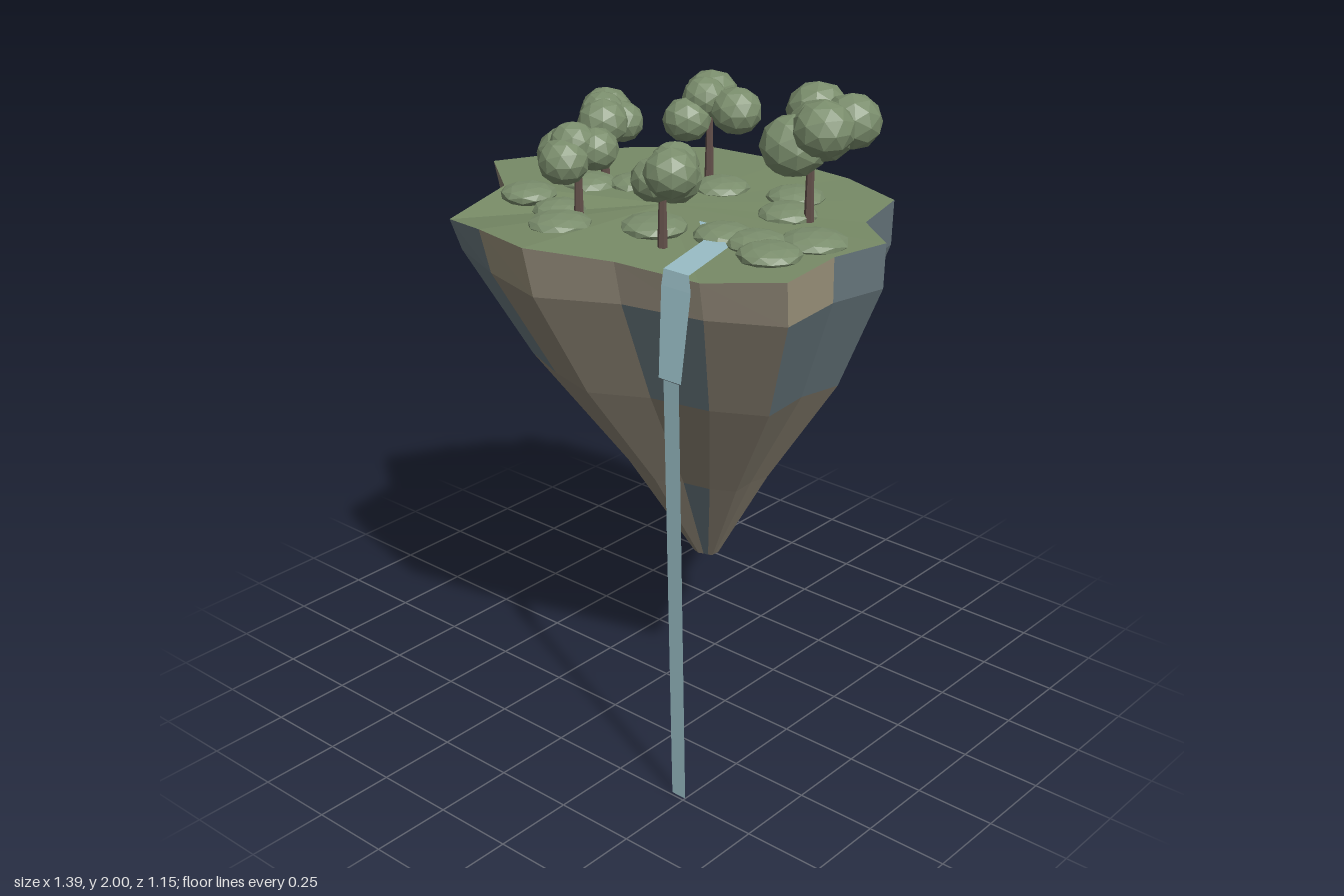
import * as THREE from 'three';

const mat = (name, color, extra = {}) => {
  const m = new THREE.MeshStandardMaterial({ color, flatShading: true, ...extra });
  m.name = name;
  return m;
};

// Rim of the island as [x, z, y], running left, front, right, back
const RIM = [
  [-0.70, 0.03, 1.62], [-0.49, 0.19, 1.62], [-0.49, 0.42, 1.57], [-0.27, 0.51, 1.61],
  [-0.03, 0.575, 1.625], [0.20, 0.45, 1.605], [0.46, 0.395, 1.59], [0.67, 0.28, 1.61],
  [0.65, 0.045, 1.615], [0.69, -0.145, 1.615], [0.53, -0.27, 1.61], [0.48, -0.485, 1.615],
  [0.25, -0.57, 1.615], [0, -0.58, 1.62], [-0.28, -0.545, 1.62], [-0.47, -0.38, 1.62],
  [-0.60, -0.17, 1.62],
];
// Lower rings: centre x, centre z, scale of the rim, height
const RINGS = [
  [0.02, 0, 0.97, 1.48], [0.06, -0.02, 0.72, 1.15], [0.12, -0.015, 0.335, 0.81], [0.14, -0.03, 0.06, 0.5],
];
// Columns of each rock band that differ from the plain brown stone
const SLATE = [[2, 8, 10, 12], [2, 5, 7, 8, 10, 12, 13, 15], [9], [5, 11, 13, 14]];
const PALE = [[3, 7, 9], [], [], []];

// Trees: trunk x, z, then foliage blobs [x, y, z, radius]
const TREES = [
  { x: -0.32, z: -0.08, blobs: [[-0.34, 1.82, -0.11, 0.08], [-0.28, 1.81, -0.03, 0.08], [-0.27, 1.80, -0.1, 0.07], [-0.31, 1.83, -0.06, 0.07]] },
  { x: -0.07, z: -0.28, blobs: [[-0.12, 1.86, -0.35, 0.085], [-0.11, 1.81, -0.22, 0.075], [0.01, 1.84, -0.31, 0.08], [-0.09, 1.87, -0.28, 0.07]] },
  { x: -0.12, z: 0.25, blobs: [[-0.16, 1.80, 0.26, 0.085], [-0.08, 1.82, 0.22, 0.07], [-0.11, 1.80, 0.32, 0.075], [-0.12, 1.84, 0.27, 0.07]] },
  { x: 0.22, z: 0.27, blobs: [[0.21, 1.79, 0.21, 0.08], [0.26, 1.83, 0.28, 0.08], [0.20, 1.80, 0.28, 0.07], [0.23, 1.84, 0.23, 0.07]] },
  { x: 0.41, z: -0.155, blobs: [[0.35, 1.91, -0.265, 0.095], [0.49, 1.91, -0.235, 0.09], [0.50, 1.92, -0.09, 0.09], [0.39, 1.85, -0.1, 0.1], [0.44, 1.89, -0.16, 0.1]] },
];
// Bushes: x, z, radius
const BUSHES = [
  [-0.38, 0.195, 0.087], [-0.2, 0.25, 0.08], [-0.11, 0.34, 0.095], [-0.31, 0.0, 0.085], [-0.2, -0.08, 0.08],
  [-0.24, -0.29, 0.085], [0.02, -0.23, 0.09], [0.25, -0.3, 0.09], [0.33, -0.16, 0.09], [0.54, -0.01, 0.1],
  [0.11, 0.18, 0.1], [0.31, 0.11, 0.09], [0.42, 0.1, 0.09], [0.51, 0.155, 0.095],
];

// Mesh from a flat list of [x, y, z] corners, three per triangle
function triMesh(name, corners, material) {
  const g = new THREE.BufferGeometry();
  g.setAttribute('position', new THREE.Float32BufferAttribute(corners.flat(), 3));
  g.computeVertexNormals();
  const m = new THREE.Mesh(g, material);
  m.name = name;
  return m;
}
const quad = (a, b, c, d) => [a, b, c, a, c, d];

// Ribbon through rows of [xLeft, xRight, y, z]
function ribbon(name, rows, material) {
  const out = [];
  for (let i = 0; i + 1 < rows.length; i++) {
    const [l0, r0, y0, z0] = rows[i], [l1, r1, y1, z1] = rows[i + 1];
    out.push(...quad([l0, y0, z0], [l1, y1, z1], [r1, y1, z1], [r0, y0, z0]));
  }
  return triMesh(name, out, material);
}

export function createModel() {
  const model = new THREE.Group();
  model.name = 'floatingIsland';
  const grass = mat('grass', 0x778a66);
  const leaf = mat('foliage', 0x7a8d6c);
  const brown = mat('brown rock', 0x857d6e);
  const pale = mat('pale rock', 0x989079);
  const slate = mat('slate rock', 0x65747a);
  const bark = mat('bark', 0x63504a);
  const water = mat('water', 0x98bcc4, { side: THREE.DoubleSide });

  // Rock body, banded into stone colours
  const n = RIM.length;
  const levels = [
    RIM.map(([x, z, y]) => [x, y, z]),
    ...RINGS.map(([cx, cz, s, y]) => RIM.map(([x, z]) => [cx + x * s, y, cz + z * s])),
  ];
  const stone = { brown: [], pale: [], slate: [] };
  for (let r = 0; r < RINGS.length; r++) {
    for (let i = 0; i < n; i++) {
      const j = (i + 1) % n;
      const kind = SLATE[r].includes(i) ? 'slate' : PALE[r].includes(i) ? 'pale' : 'brown';
      stone[kind].push(...quad(levels[r][i], levels[r + 1][i], levels[r + 1][j], levels[r][j]));
    }
  }
  // Rock tip and grass top as fans
  const turf = [];
  for (let i = 0; i < n; i++) {
    const j = (i + 1) % n;
    stone.brown.push([0.14, 0.49, -0.03], levels[4][j], levels[4][i]);
    turf.push([0, 1.62, 0], levels[0][i], levels[0][j]);
  }
  model.add(
    triMesh('brownRock', stone.brown, brown),
    triMesh('paleRock', stone.pale, pale),
    triMesh('slateRock', stone.slate, slate),
    triMesh('grassTop', turf, grass),
  );

  // Stream across the grass, then the two lengths of the waterfall
  model.add(
    ribbon('stream', [[0.19, 0.25, 1.627, 0.075], [0.31, 0.40, 1.627, 0.2], [0.355, 0.445, 1.615, 0.42]], water),
    ribbon('upperFall', [[0.355, 0.445, 1.615, 0.42], [0.355, 0.46, 1.57, 0.43], [0.385, 0.465, 1.32, 0.475]], water),
    ribbon('lowerFall', [[0.405, 0.46, 1.32, 0.478], [0.45, 0.50, 0, 0.49]], water),
  );

  // Trees
  const blob = new THREE.IcosahedronGeometry(1, 1);
  for (const { x, z, blobs } of TREES) {
    const tree = new THREE.Group();
    tree.name = 'tree';
    const top = Math.min(...blobs.map((b) => b[1]));
    const trunk = new THREE.Mesh(new THREE.CylinderGeometry(0.01, 0.015, top - 1.6, 6), bark);
    trunk.name = 'trunk';
    trunk.position.set(x, (top + 1.6) / 2, z);
    tree.add(trunk);
    blobs.forEach(([bx, by, bz, r], i) => {
      const m = new THREE.Mesh(blob, leaf);
      m.name = 'foliage';
      m.position.set(bx, by, bz);
      m.scale.set(r, r * 0.92, r);
      m.rotation.y = i * 1.3;
      tree.add(m);
    });
    model.add(tree);
  }

  // Low bushes
  BUSHES.forEach(([x, z, r], i) => {
    const m = new THREE.Mesh(blob, leaf);
    m.name = 'bush';
    m.position.set(x, 1.62, z);
    m.scale.set(r, 0.032, r);
    m.rotation.y = i * 0.9;
    model.add(m);
  });
  return model;
}
